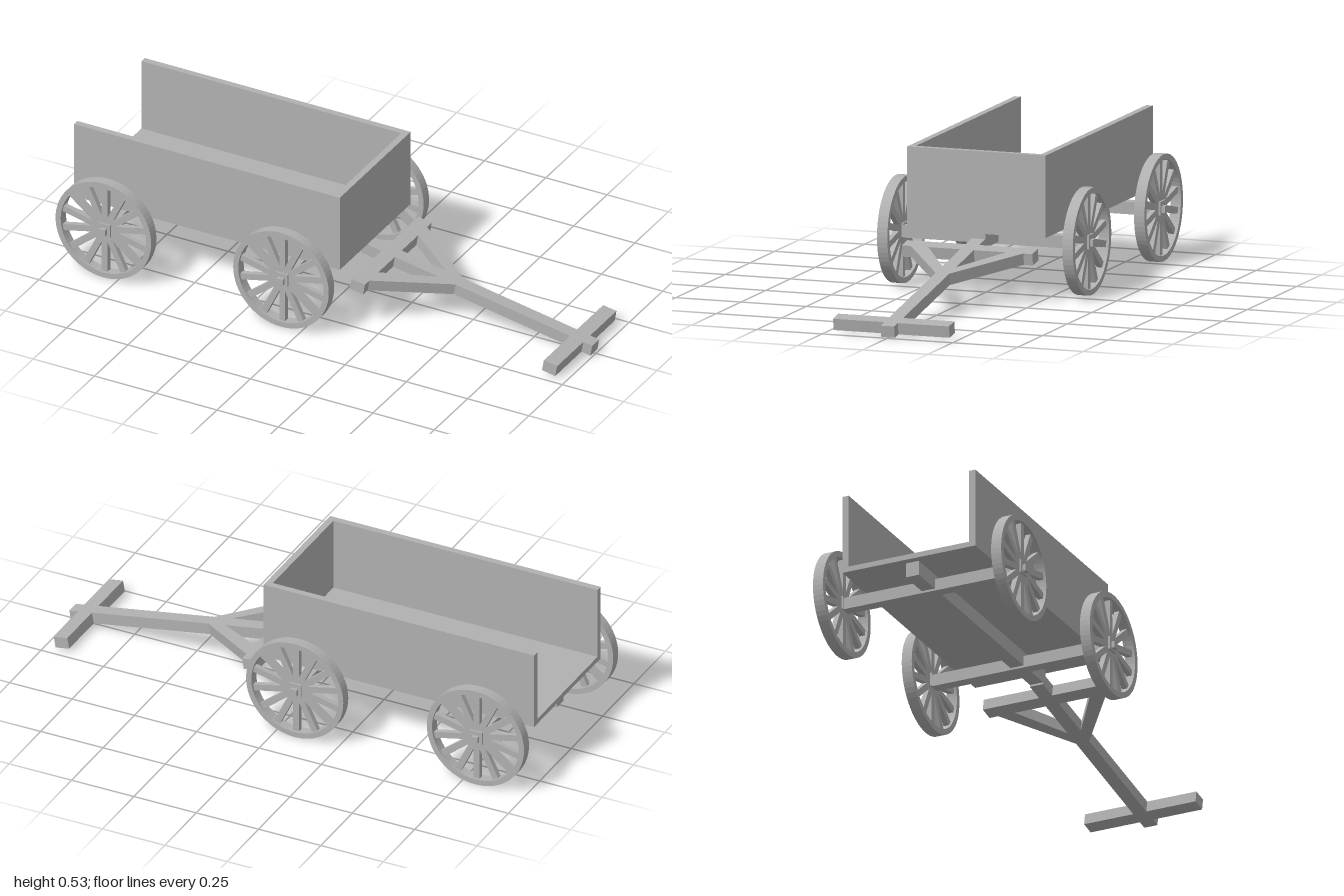
import * as THREE from 'three';

export function createModel() {
  const model = new THREE.Group();
  model.name = 'handCart';
  const grey = new THREE.MeshStandardMaterial({ color: 0xb0b0b0 });
  grey.name = 'plain grey';

  const add = (parent, name, geometry) => {
    const mesh = new THREE.Mesh(geometry, grey);
    mesh.name = name;
    parent.add(mesh);
    return mesh;
  };
  // Box given by its minimum and maximum along each axis
  const box = (parent, name, x0, x1, y0, y1, z0, z1) => {
    const mesh = add(parent, name, new THREE.BoxGeometry(x1 - x0, y1 - y0, z1 - z0));
    mesh.position.set((x0 + x1) / 2, (y0 + y1) / 2, (z0 + z1) / 2);
    return mesh;
  };

  // Cargo bed, open at the top and the tail
  const bed = new THREE.Group();
  bed.name = 'bed';
  model.add(bed);
  box(bed, 'floor', -0.985, 0.075, 0.23, 0.25, -0.24, 0.24);
  box(bed, 'leftSide', -0.985, 0.1, 0.23, 0.53, -0.265, -0.24);
  box(bed, 'rightSide', -0.985, 0.1, 0.23, 0.53, 0.24, 0.265);
  box(bed, 'endBoard', 0.075, 0.1, 0.23, 0.53, -0.24, 0.24);

  // Beam under the bed
  box(model, 'centreBeam', -0.957, 0.078, 0.175, 0.23, -0.026, 0.026);

  // Wheel lying in the xy plane: rim, tapering gaps between spokes, square hub
  const R = 0.195, SPOKES = 14;
  const rimShape = new THREE.Shape().absarc(0, 0, R, 0, Math.PI * 2);
  rimShape.holes.push(new THREE.Path().absarc(0, 0, 0.174, 0, Math.PI * 2, true));
  const rimGeometry = new THREE.ExtrudeGeometry(rimShape, { depth: 0.04, bevelEnabled: false, curveSegments: 32 });
  rimGeometry.translate(0, 0, -0.02);
  const spokeGeometry = new THREE.BoxGeometry(0.16, 0.024, 0.02).translate(0.097, 0, 0);

  const makeWheel = (x, side) => {
    const wheel = new THREE.Group();
    wheel.name = 'wheel';
    wheel.position.set(x, R, side * 0.355);
    add(wheel, 'rim', rimGeometry);
    for (let i = 0; i < SPOKES; i++) {
      add(wheel, 'spoke', spokeGeometry).rotation.z = ((i + 0.5) / SPOKES) * Math.PI * 2;
    }
    add(wheel, 'hub', new THREE.BoxGeometry(0.05, 0.05, 0.034));
    model.add(wheel);
  };

  for (const x of [-0.805, -0.08]) {
    box(model, 'axle', x - 0.022, x + 0.022, 0.167, 0.212, -0.338, 0.338);
    box(model, 'axlePin', x - 0.0125, x + 0.0125, 0.178, 0.203, -0.384, 0.384);
    for (const side of [-1, 1]) makeWheel(x, side);
  }

  // Sloping drawbar, built flat with its tip at the origin
  const H = 0.0215;
  const drawbar = new THREE.Group();
  drawbar.name = 'drawbar';
  drawbar.position.set(0.996, 0.0235, 0);
  drawbar.rotation.z = -THREE.MathUtils.degToRad(10);
  model.add(drawbar);
  box(drawbar, 'pole', -0.95, 0, -H, H, -0.026, 0.026);
  box(drawbar, 'crossbar', -0.874, -0.818, -H, H, -0.25, 0.25);
  box(drawbar, 'handle', -0.092, -0.037, -H, H, -0.222, 0.222);

  // Diagonal braces between crossbar and pole
  for (const side of [-1, 1]) {
    const outline = [[-0.82, 0.217], [-0.82, 0.15], [-0.633, 0.024], [-0.563, 0.024]];
    const shape = new THREE.Shape(outline.map(([u, w]) => new THREE.Vector2(u, side * w)));
    const geometry = new THREE.ExtrudeGeometry(shape, { depth: 2 * H, bevelEnabled: false });
    geometry.translate(0, 0, -H).rotateX(Math.PI / 2);
    add(drawbar, 'brace', geometry);
  }

  return model;
}
